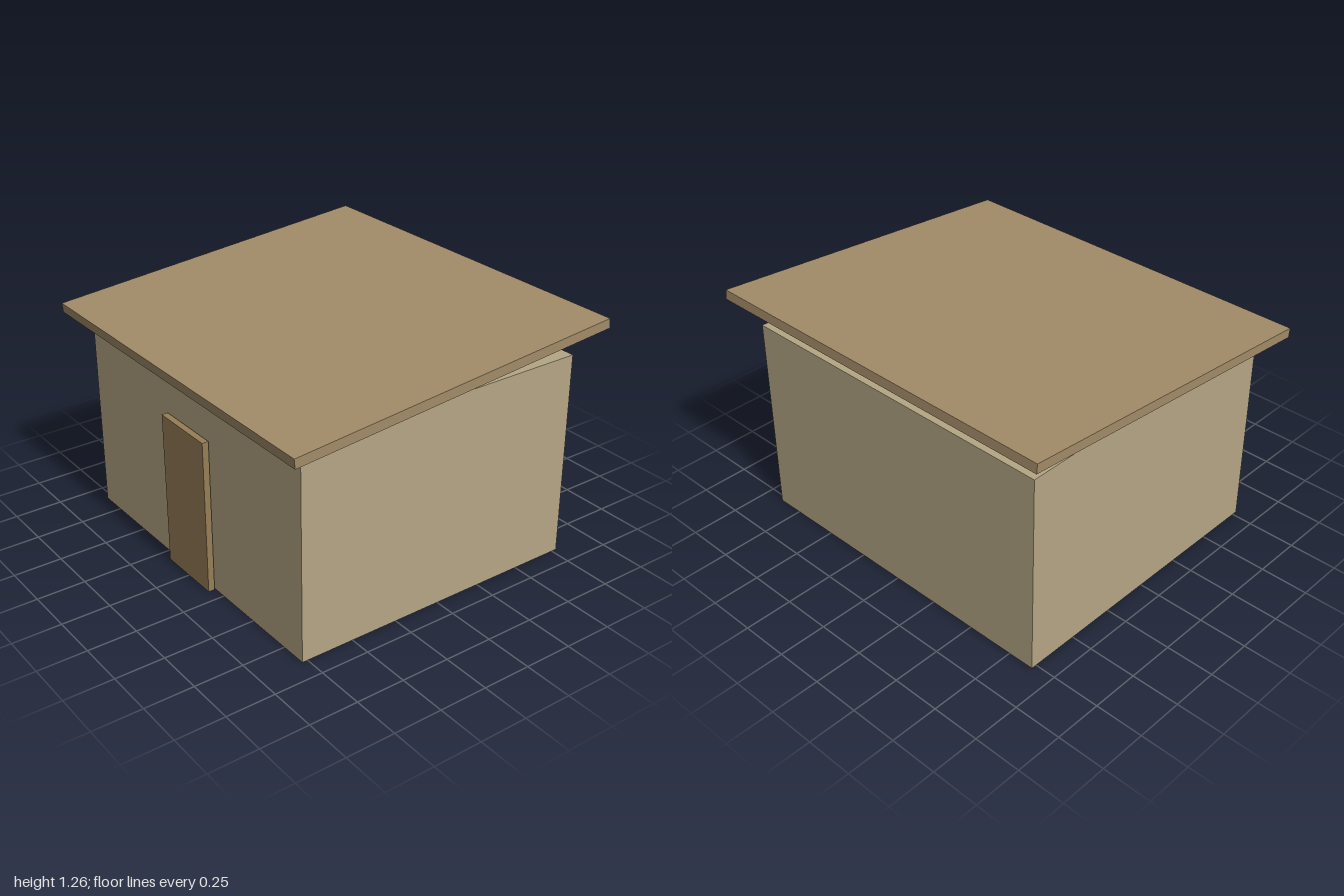
import * as THREE from 'three';

// One coloured box, placed by its centre
function box(name, color, size, position) {
  const mesh = new THREE.Mesh(
    new THREE.BoxGeometry(...size),
    new THREE.MeshStandardMaterial({ color })
  );
  mesh.name = name;
  mesh.position.set(...position);
  return mesh;
}

export function createModel() {
  const hut = new THREE.Group();
  hut.name = 'hut';

  // Solid wall block
  const walls = box('walls', 0xb5a685, [1.778, 1.067, 1.556], [0, 0.5335, 0]);

  // Door slab standing just clear of the front wall
  const door = box('door', 0x967e56, [0.356, 0.8, 0.033], [0, 0.4, 0.8]);

  // Overhanging shed roof, tilted down towards the front
  const roof = box('roof', 0xa28b68, [2, 0.049, 1.778], [0, 1.16, 0]);
  roof.rotation.x = THREE.MathUtils.degToRad(5);

  hut.add(walls, door, roof);
  return hut;
}
